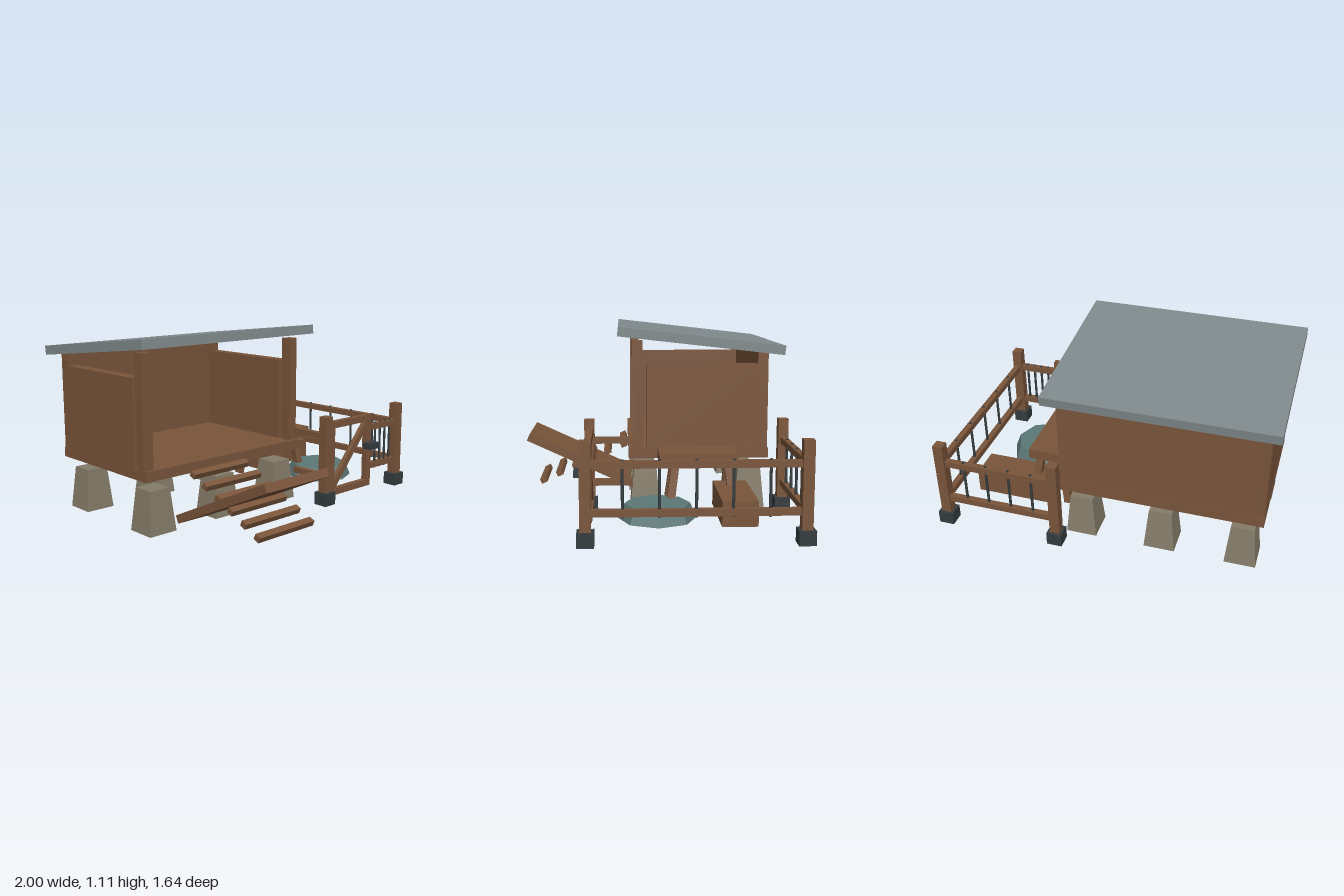
import * as THREE from 'three';

const mat = (color) => new THREE.MeshStandardMaterial({ color, flatShading: true });

export function createModel() {
  const root = new THREE.Group();
  const wood = mat(0x7a553b), stone = mat(0x857c69), roofing = mat(0x7f898b);
  const iron = mat(0x353c3f), teal = mat(0x5c7676);

  const group = (name) => {
    const g = new THREE.Group();
    g.name = name;
    root.add(g);
    return g;
  };
  const add = (parent, name, geometry, material, x, y, z) => {
    const m = new THREE.Mesh(geometry, material);
    m.name = name;
    m.position.set(x, y, z);
    parent.add(m);
    return m;
  };
  // Box given by its minimum and maximum on each axis
  const span = (parent, name, material, [x0, x1], [y0, y1], [z0, z1]) =>
    add(parent, name, new THREE.BoxGeometry(x1 - x0, y1 - y0, z1 - z0), material,
      (x0 + x1) / 2, (y0 + y1) / 2, (z0 + z1) / 2);
  // Square beam between two points
  const beam = (parent, name, a, b, width, depth) => {
    const from = new THREE.Vector3(...a), to = new THREE.Vector3(...b);
    const dir = to.clone().sub(from);
    const m = add(parent, name, new THREE.BoxGeometry(width, dir.length(), depth), wood,
      ...from.clone().add(to).multiplyScalar(0.5).toArray());
    m.quaternion.setFromUnitVectors(new THREE.Vector3(0, 1, 0), dir.normalize());
    return m;
  };

  // Hut: floor, posts, three walls and a sloping roof
  const hut = group('hut');
  span(hut, 'floor', wood, [-0.947, 0.248], [0.32, 0.38], [-0.686, 0.156]);
  for (const x of [-0.912, 0.213]) {
    span(hut, 'frontPost', wood, [x - 0.032, x + 0.032], [0.38, 1.027], [0.072, 0.135]);
    span(hut, 'backPost', wood, [x - 0.032, x + 0.032], [0.38, 0.96], [-0.68, -0.617]);
    span(hut, 'sideWall', wood, [x - 0.034, x + 0.034], [0.38, 0.887], [-0.647, 0.046]);
  }
  span(hut, 'backWall', wood, [-0.925, 0.226], [0.38, 0.96], [-0.683, -0.64]);
  const roof = add(hut, 'roof', new THREE.BoxGeometry(1.305, 0.055, 0.995), roofing, -0.348, 1.028, -0.275);
  roof.rotation.x = -0.113;

  // Tapered stone footings
  const footings = group('footings');
  const footing = new THREE.CylinderGeometry(0.068 * Math.SQRT2, 0.092 * Math.SQRT2, 0.253, 4);
  footing.rotateY(Math.PI / 4);
  for (const x of [-0.83, -0.35, 0.13])
    for (const z of [0.055, -0.58]) add(footings, 'footing', footing, stone, x, 0.1265, z);

  // Steps: tilted board crossed by six treads
  const steps = group('steps');
  const board = add(steps, 'stepBoard', new THREE.BoxGeometry(0.476, 0.05, 0.81), wood, -0.438, 0.203, 0.44);
  board.rotation.x = -0.435;
  for (let i = 0; i < 6; i++) {
    const tread = add(steps, 'tread', new THREE.BoxGeometry(0.42, 0.033, 0.04), wood,
      -0.438, 0.077 + i * 0.0477, 0.715 - i * 0.106);
    tread.rotation.x = 0.43;
  }

  // Fence: posts in iron shoes, rails and thin bars
  const fence = group('fence');
  const [L, R, F, B] = [0.25, 0.95, 0.39, -0.772];
  for (const x of [L, R])
    for (const z of [F, B]) {
      span(fence, 'postShoe', iron, [x - 0.046, x + 0.046], [0, 0.08], [z - 0.046, z + 0.046]);
      span(fence, 'fencePost', wood, [x - 0.03, x + 0.03], [0.08, 0.56], [z - 0.03, z + 0.03]);
    }
  const r = 0.018;
  for (const y of [0.434, 0.177]) {
    const h = [y - 0.019, y + 0.019];
    span(fence, 'sideRail', wood, [R - r, R + r], h, [B, F]);
    span(fence, 'backRail', wood, [L, R], h, [B - r, B + r]);
    span(fence, 'frontRail', wood, [0.68, R], h, [F - r, F + r]);
    span(fence, 'hutRail', wood, [L - r, L + r], h, [0.13, F]);
  }
  const barShape = new THREE.CylinderGeometry(0.008, 0.008, 0.31, 6);
  const bar = (x, z) => add(fence, 'fenceBar', barShape, iron, x, 0.305, z);
  for (let i = 1; i <= 5; i++) bar(R, F + (B - F) * i / 6);
  for (let i = 1; i <= 4; i++) {
    bar(L + (R - L) * i / 5, B);
    bar(0.685 + i * 0.05, F);
  }

  // Gate with a diagonal brace and a latch
  const gate = group('gate');
  const gz = [0.365, 0.403];
  for (const y of [0.045, 0.478]) span(gate, 'gateBar', wood, [0.28, 0.677], [y, y + 0.042], gz);
  for (const x of [0.28, 0.635]) span(gate, 'gateStile', wood, [x, x + 0.042], [0.045, 0.52], gz);
  beam(gate, 'gateBrace', [0.305, 0.085, 0.384], [0.65, 0.48, 0.384], 0.04, 0.03);
  span(gate, 'latch', iron, [0.597, 0.687], [0.303, 0.343], [0.405, 0.465]);

  // Table with splayed legs
  const table = group('table');
  span(table, 'tableTop', wood, [0.275, 0.528], [0.335, 0.397], [-0.468, -0.015]);
  for (const sx of [-1, 1])
    for (const sz of [-1, 1])
      beam(table, 'tableLeg', [0.4 + sx * 0.07, 0.345, -0.262 + sz * 0.15],
        [0.4 + sx * 0.11, 0.035, -0.262 + sz * 0.19], 0.045, 0.045);

  // Long box and eight-sided basin in the yard
  const yard = group('yard');
  span(yard, 'trough', wood, [0.366, 0.853], [0.066, 0.207], [-0.535, -0.338]);
  add(yard, 'basin', new THREE.CylinderGeometry(0.185, 0.22, 0.085, 8), teal, 0.612, 0.098, 0);

  return root;
}
